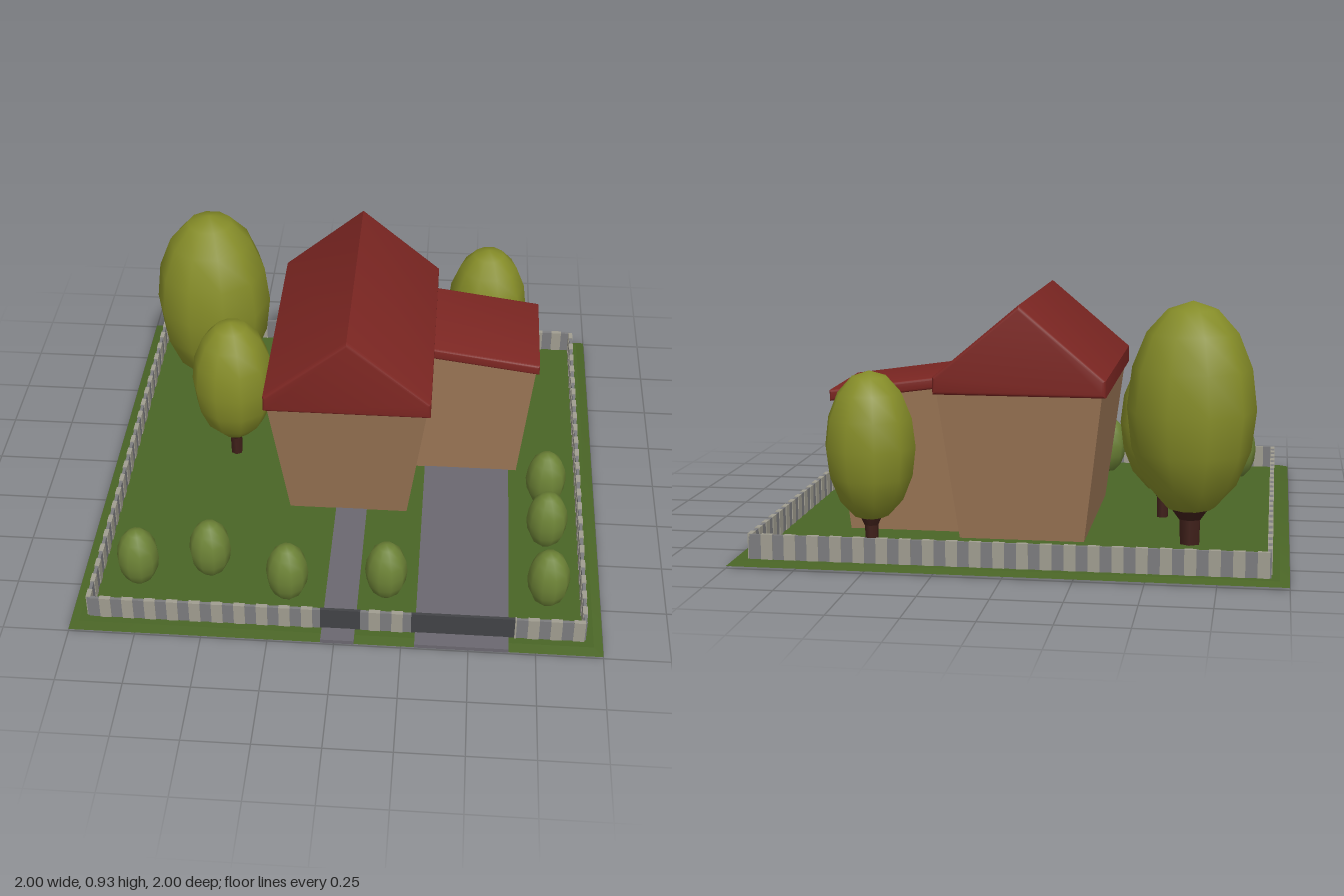
import * as THREE from 'three';
import { mergeGeometries, toCreasedNormals } from 'three/addons/utils/BufferGeometryUtils.js';

const paint = (color) => new THREE.MeshStandardMaterial({ color });
const grass = paint(0x4a6526), paving = paint(0x6b6870), wallPaint = paint(0x9a7555);
const roofPaint = paint(0x7c2622), lightWood = paint(0xa09d90), darkWood = paint(0x7c7c7e);
const gatePaint = paint(0x424346), bark = paint(0x40201a), leaf = paint(0x858c28), bushLeaf = paint(0x6c8236);

export function createModel() {
  const model = new THREE.Group();
  const add = (name, geometry, material, parent = model) => {
    const mesh = new THREE.Mesh(geometry, material);
    mesh.name = name;
    parent.add(mesh);
    return mesh;
  };
  // Box given by its limits on each axis
  const block = (x0, x1, y0, y1, z0, z1) =>
    new THREE.BoxGeometry(x1 - x0, y1 - y0, z1 - z0)
      .translate((x0 + x1) / 2, (y0 + y1) / 2, (z0 + z1) / 2);

  // Lawn with a sloping rim, and the two paved strips
  add('lawn', new THREE.CylinderGeometry(0.965 * Math.SQRT2, Math.SQRT2, 0.012, 4)
    .rotateY(Math.PI / 4).translate(0, 0.014, 0), grass);
  add('footpath', block(-0.05, 0.075, 0.006, 0.022, 0.2, 1), paving);
  add('driveway', block(0.3, 0.65, 0.006, 0.022, -0.04, 1), paving);

  // Walls lean outwards: bottom = [x0, x1, z0, z1], top likewise, y1 per x side
  const leaningWalls = (bottom, top, yLeft, yRight) => {
    const geometry = new THREE.BoxGeometry(1, 1, 1);
    const p = geometry.attributes.position;
    for (let i = 0; i < p.count; i++) {
      const up = p.getY(i) > 0, r = p.getX(i) > 0 ? 1 : 0, f = p.getZ(i) > 0 ? 3 : 2;
      const rect = up ? top : bottom;
      p.setXYZ(i, rect[r], up ? (r ? yRight : yLeft) : 0.005, rect[f]);
    }
    geometry.computeVertexNormals();
    return geometry;
  };
  const house = new THREE.Group();
  house.name = 'house';
  model.add(house);
  add('mainWalls', leaningWalls([-0.235, 0.235, -0.53, 0.25], [-0.31, 0.31, -0.6, 0.345], 0.6, 0.6), wallPaint, house);
  add('wingWalls', leaningWalls([0.2, 0.68, -0.44, -0.04], [0.28, 0.735, -0.475, -0.037], 0.61, 0.55), wallPaint, house);

  // Roofs: profile run along z with softly rounded edges
  const roof = (points, z0, z1, bevel) => {
    const shape = new THREE.Shape(points.map(([x, y]) => new THREE.Vector2(x, y)));
    const geometry = new THREE.ExtrudeGeometry(shape, {
      depth: z1 - z0 - 2 * bevel, bevelThickness: bevel, bevelSize: bevel, bevelOffset: -bevel, bevelSegments: 3,
    }).translate(0, 0, z0 + bevel);
    return toCreasedNormals(geometry, 0.6);
  };
  add('mainRoof', roof([[-0.323, 0.58], [0.323, 0.58], [0.323, 0.645], [0, 0.917], [-0.323, 0.645]], -0.613, 0.357, 0.014), roofPaint, house);
  add('wingRoof', roof([[0.2, 0.6], [0.747, 0.525], [0.747, 0.567], [0.2, 0.645]], -0.487, -0.03, 0.01), roofPaint, house);

  // Fence: rails with pickets on four sides, two gates at the front
  const E = 0.93, H = 0.113, slots = 22, step = 2 * E / slots;
  const gates = [[-0.055, 0.095], [0.285, 0.67]];
  const rails = [], pickets = [];
  for (let side = 0; side < 4; side++) {
    const spans = side === 0
      ? [[-E, gates[0][0]], [gates[0][1], gates[1][0]], [gates[1][1], E]]
      : [[-E, E]];
    for (const [a, b] of spans) {
      rails.push(block(a, b, 0, H - 0.002, E - 0.006, E + 0.006).rotateY(side * Math.PI / 2));
      for (let i = 0; i < slots; i++) {
        const x0 = Math.max(a, -E + (i + 0.5) * step), x1 = Math.min(b, -E + (i + 1) * step);
        if (x1 - x0 > 0.005)
          pickets.push(block(x0, x1, 0, H, E - 0.009, E + 0.009).rotateY(side * Math.PI / 2));
      }
    }
  }
  add('fenceRails', mergeGeometries(rails), darkWood);
  add('fencePickets', mergeGeometries(pickets), lightWood);
  gates.forEach(([a, b], i) =>
    add(i ? 'drivewayGate' : 'footpathGate', block(a, b, 0, H, E - 0.006, E + 0.006), gatePaint));

  // Egg-shaped foliage between two heights
  const crown = (r, y0, y1) => new THREE.SphereGeometry(r, 10, 8)
    .scale(1, (y1 - y0) / 2 / r, 1).translate(0, (y0 + y1) / 2, 0);

  // Trees: x, z, crown radius, crown bottom, crown top, trunk radius
  for (const [x, z, r, y0, y1, t] of [
    [-0.63, -0.49, 0.24, 0.13, 0.932, 0.045],
    [-0.5, -0.085, 0.17, 0.12, 0.682, 0.027],
    [0.535, -0.705, 0.17, 0.12, 0.682, 0.027],
  ]) {
    const tree = new THREE.Group();
    tree.name = 'tree';
    tree.position.set(x, 0, z);
    model.add(tree);
    add('trunk', new THREE.CylinderGeometry(t, t * 0.9, 0.2, 6).translate(0, 0.105, 0), bark, tree);
    // Root of the crown, flaring into the foliage
    add('fork', new THREE.CylinderGeometry(t * 2, t, 0.06, 6).translate(0, y0 + 0.015, 0), bark, tree);
    add('crown', crown(r, y0, y1), leaf, tree);
  }

  // Bushes along the front and left edges
  for (const [x, z] of [
    [-0.775, 0.72], [-0.505, 0.655], [-0.195, 0.765], [0.18, 0.73],
    [0.795, 0.73], [0.795, 0.395], [0.795, 0.145],
  ]) add('bush', crown(0.081, 0.01, 0.267), bushLeaf).position.set(x, 0, z);

  return model;
}
